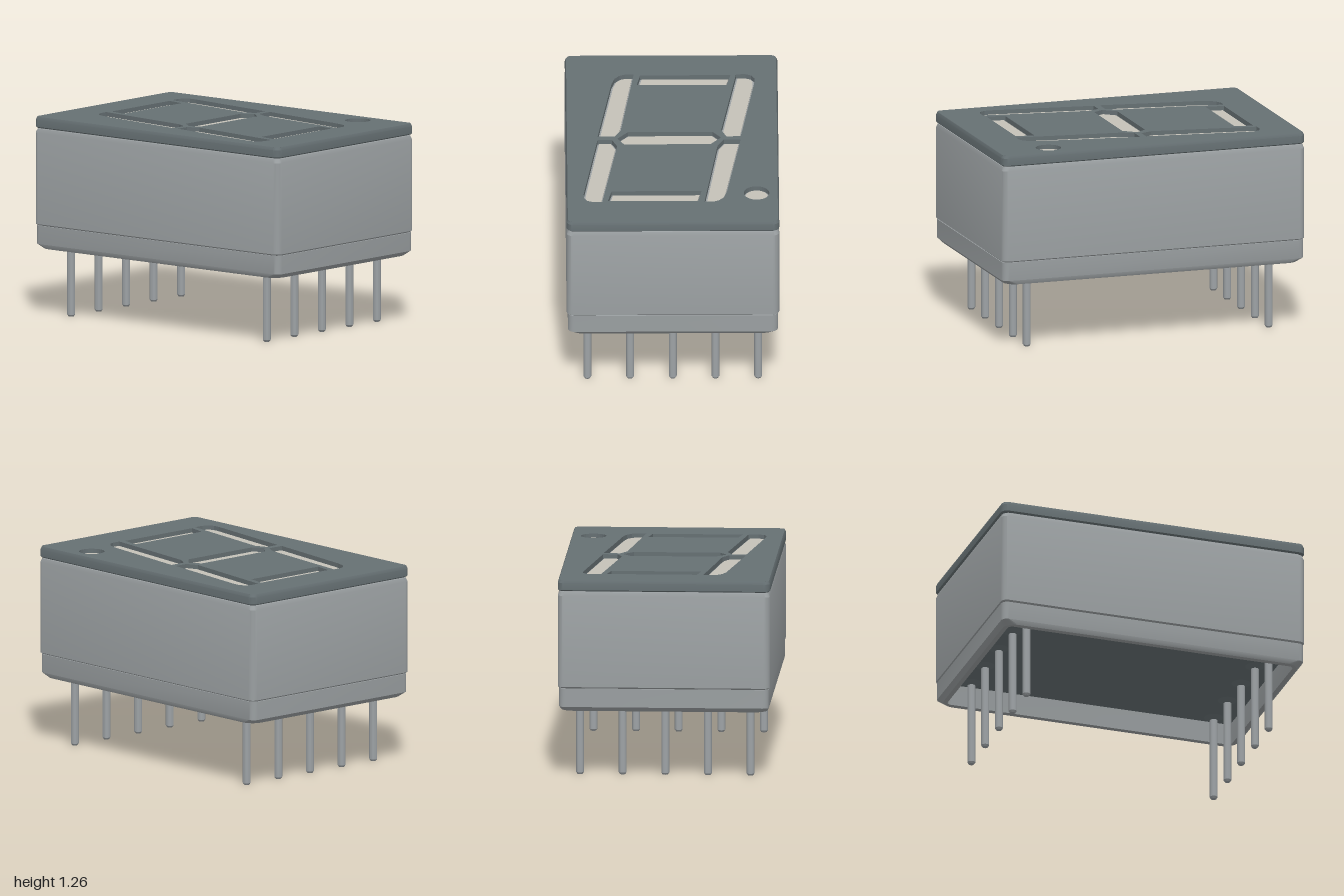
import * as THREE from 'three';
import { toCreasedNormals } from 'three/addons/utils/BufferGeometryUtils.js';

const material = (name, color, side = THREE.FrontSide) => {
  const m = new THREE.MeshStandardMaterial({ color, side });
  m.name = name;
  return m;
};

// Joins rounded-rectangle rings [y, halfX, halfZ, cornerRadius] into one skin
function loft(rings, cornerSteps = 5) {
  const position = [], index = [], n = 4 * (cornerSteps + 1);
  for (const [y, hx, hz, r] of rings) {
    for (let q = 0; q < 4; q++) {
      const sx = q === 0 || q === 3 ? 1 : -1, sz = q < 2 ? -1 : 1;
      for (let s = 0; s <= cornerSteps; s++) {
        const a = (q + s / cornerSteps) * Math.PI / 2;
        position.push(sx * (hx - r) + r * Math.cos(a), y, sz * (hz - r) - r * Math.sin(a));
      }
    }
  }
  for (let j = 0; j < rings.length - 1; j++) {
    for (let i = 0; i < n; i++) {
      const a = j * n + i, b = j * n + (i + 1) % n;
      index.push(a, b, b + n, a, b + n, a + n);
    }
  }
  const g = new THREE.BufferGeometry();
  g.setAttribute('position', new THREE.Float32BufferAttribute(position, 3));
  g.setIndex(index);
  return toCreasedNormals(g, 0.45);
}

// Outlines are given as [x, z] points seen from above
const toPoints = (list) => list.map(([x, z]) => new THREE.Vector2(x, -z));

// Moves every edge of an outline inwards by d
function inset(points, d) {
  const sign = THREE.ShapeUtils.isClockWise(points) ? -1 : 1;
  const normal = (a, b) => new THREE.Vector2(a.y - b.y, b.x - a.x).normalize().multiplyScalar(sign);
  return points.map((p, i) => {
    const n1 = normal(points[(i + points.length - 1) % points.length], p);
    const n2 = normal(p, points[(i + 1) % points.length]);
    return p.clone().addScaledVector(n1.clone().add(n2), d / (1 + n1.dot(n2)));
  });
}

// Extrudes a flat outline upwards from y
function slab(shape, y, depth) {
  const g = new THREE.ExtrudeGeometry(shape, { depth, bevelEnabled: false, curveSegments: 6 });
  g.rotateX(-Math.PI / 2);
  g.translate(0, y, 0);
  return g;
}

function roundedRect(hx, hz, r) {
  const s = new THREE.Shape();
  s.absarc(hx - r, hz - r, r, 0, Math.PI / 2);
  s.absarc(r - hx, hz - r, r, Math.PI / 2, Math.PI);
  s.absarc(r - hx, r - hz, r, Math.PI, Math.PI * 1.5);
  s.absarc(hx - r, r - hz, r, Math.PI * 1.5, Math.PI * 2);
  return s;
}

export function createModel() {
  const group = new THREE.Group();
  const housingGrey = material('housing grey', 0x9a9fa1);
  const faceGrey = material('dark face grey', 0x667073);
  const segmentCream = material('segment cream', 0xc4c1b8);
  const pinGrey = material('pin grey', 0x9da2a5);

  const add = (name, geometry, mat, parent = group) => {
    const mesh = new THREE.Mesh(geometry, mat);
    mesh.name = name;
    parent.add(mesh);
    return mesh;
  };

  // Main housing, closed at the top just below the face plate
  add('housing', loft([
    [0.57, 0.64, 0.98, 0.04], [0.575, 0.658, 0.993, 0.04], [0.582, 0.665, 1, 0.04],
    [1.16, 0.665, 1, 0.04], [1.185, 0.656, 0.991, 0.04],
    [1.187, 0.65, 0.985, 0.04], [1.2, 0.65, 0.985, 0.04],
  ]), housingGrey);

  // Base rim, hollow below, with sloped ends and cut corners
  add('baseRim', loft([
    [0.56, 0.6, 0.93, 0.03], [0.427, 0.61, 0.94, 0.03],
    [0.427, 0.645, 0.97, 0.08], [0.455, 0.657, 0.996, 0.04],
    [0.572, 0.657, 0.996, 0.04], [0.572, 0.6, 0.94, 0.04],
  ]), housingGrey);

  // Resin filling seen from below
  add('resinFloor', loft([[0.56, 0, 0, 0], [0.56, 0.605, 0.935, 0.03]]), faceGrey);

  // Segment outlines: the lower ones mirror the upper ones through the digit centre
  const upperLeft = [[-0.235, -0.765], [-0.29, -0.765], [-0.325, -0.75], [-0.355, -0.715],
    [-0.375, -0.65], [-0.465, -0.025], [-0.36, -0.025], [-0.32, -0.1]];
  const upperRight = [[0.405, -0.765], [0.465, -0.765], [0.5, -0.75], [0.52, -0.715],
    [0.52, -0.67], [0.43, -0.025], [0.34, -0.025], [0.308, -0.1]];
  const top = [[-0.195, -0.755], [0.37, -0.755], [0.345, -0.638], [-0.217, -0.638]];
  const middle = [[-0.342, 0], [-0.275, -0.078], [0.255, -0.078], [0.306, -0.01],
    [0.24, 0.068], [-0.3, 0.068]];
  const mirrored = (list) => list.map(([x, z]) => [-0.036 - x, -0.01 - z]);
  const dot = Array.from({ length: 28 }, (_, i) => {
    const a = i / 28 * Math.PI * 2;
    return [0.525 + 0.08 * Math.cos(a), 0.653 + 0.08 * Math.sin(a)];
  });
  const outlines = {
    upperLeftSegment: upperLeft, upperRightSegment: upperRight, topSegment: top,
    middleSegment: middle, lowerRightSegment: mirrored(upperLeft),
    lowerLeftSegment: mirrored(upperRight), bottomSegment: mirrored(top), decimalPoint: dot,
  };

  // Face plate: chamfered edge band plus a pierced top
  add('facePlateEdge', loft([
    [1.19, 0.64, 0.975, 0.03], [1.19, 0.657, 0.992, 0.035], [1.197, 0.665, 1, 0.04],
    [1.242, 0.665, 1, 0.04], [1.26, 0.657, 0.992, 0.035],
  ]), faceGrey);
  const face = roundedRect(0.657, 0.992, 0.035);
  for (const list of Object.values(outlines)) face.holes.push(new THREE.Path(toPoints(list)));
  add('facePlateTop', slab(face, 1.225, 0.035), faceGrey);

  // Light segments sunk in the openings, each on a grey surround
  const digit = new THREE.Group();
  digit.name = 'digit';
  group.add(digit);
  for (const [name, list] of Object.entries(outlines)) {
    const points = toPoints(list);
    add(name + 'Surround', slab(new THREE.Shape(points), 1.2, 0.028), housingGrey, digit);
    add(name, slab(new THREE.Shape(inset(points, 0.011)), 1.228, 0.008), segmentCream, digit);
  }

  // Two rows of five pins, each with a small resin collar
  const profile = [[0, 0], [0.017, 0], [0.025, 0.012], [0.025, 0.58]].map(([x, y]) => new THREE.Vector2(x, y));
  const pinGeometry = toCreasedNormals(new THREE.LatheGeometry(profile, 16), 0.5);
  const collarGeometry = new THREE.CylinderGeometry(0.062, 0.03, 0.02, 20);
  for (const z of [-0.8, 0.8]) {
    for (let i = -2; i <= 2; i++) {
      add('pin', pinGeometry, pinGrey).position.set(i * 0.267, 0, z);
      add('pinCollar', collarGeometry, faceGrey).position.set(i * 0.267, 0.551, z);
    }
  }
  return group;
}
